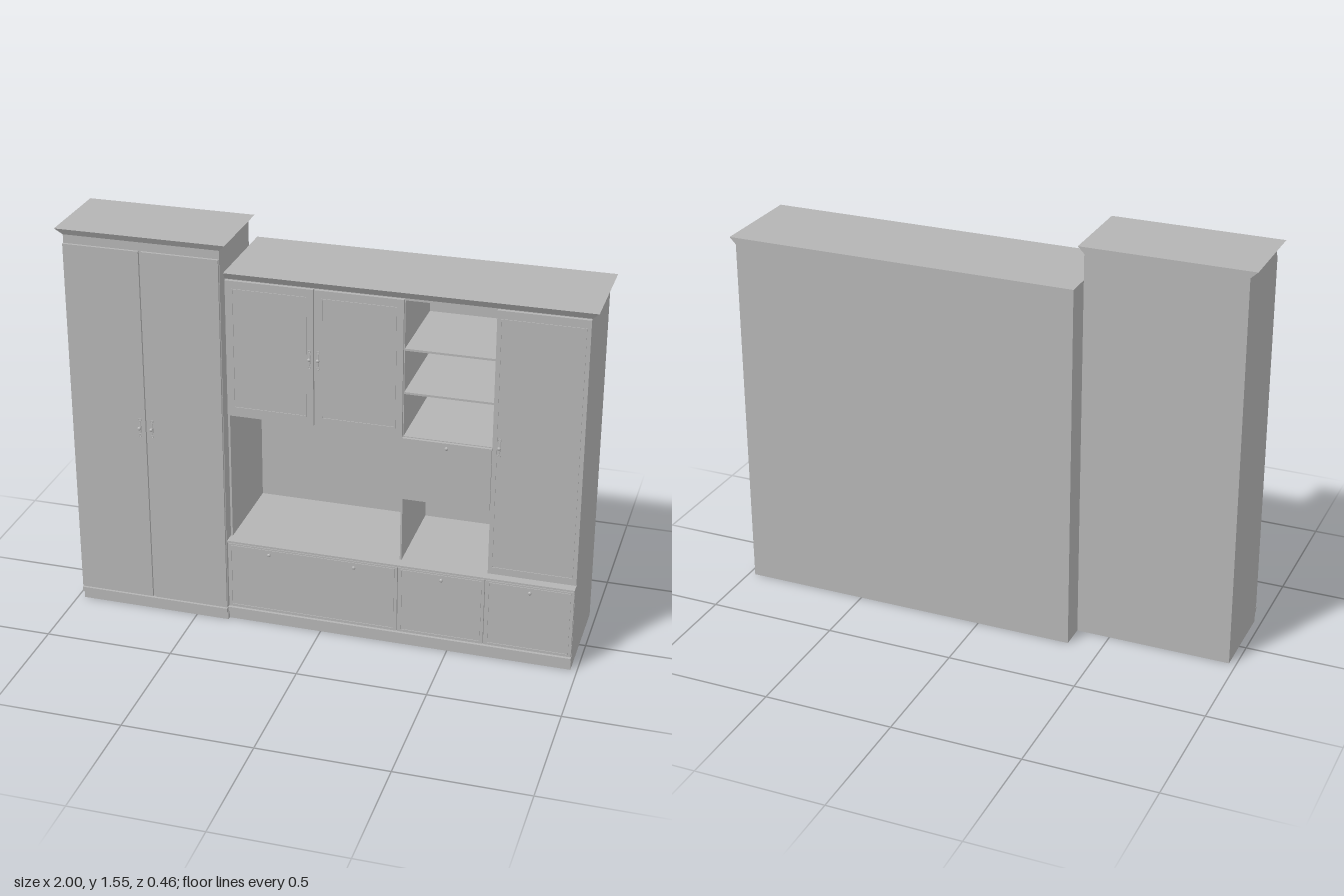
import * as THREE from 'three';

export function createModel() {
  const root = new THREE.Group();
  root.name = 'wallCabinet';
  const grey = new THREE.MeshStandardMaterial({ color: 0xb4b4b4 });
  grey.name = 'grey';

  const add = (parent, name, geometry) => {
    const mesh = new THREE.Mesh(geometry, grey);
    mesh.name = name;
    parent.add(mesh);
    return mesh;
  };
  const group = (name) => {
    const g = new THREE.Group();
    g.name = name;
    root.add(g);
    return g;
  };
  // Box given by its limits on each axis
  const box = (parent, name, x0, x1, y0, y1, z0, z1) => {
    const g = new THREE.BoxGeometry(x1 - x0, y1 - y0, z1 - z0);
    g.translate((x0 + x1) / 2, (y0 + y1) / 2, (z0 + z1) / 2);
    return add(parent, name, g);
  };
  // Cornice: a slab whose upper edges flare outward
  const cornice = (parent, x0, x1, y0, y1, z0, z1, left, right, front) => {
    const mesh = box(parent, 'cornice', x0, x1, y0, y1, z0, z1);
    const p = mesh.geometry.attributes.position;
    const midX = (x0 + x1) / 2, midY = (y0 + y1) / 2, midZ = (z0 + z1) / 2;
    for (let i = 0; i < p.count; i++) {
      if (p.getY(i) < midY) continue;
      p.setX(i, p.getX(i) + (p.getX(i) < midX ? -left : right));
      if (p.getZ(i) > midZ) p.setZ(i, p.getZ(i) + front);
    }
    mesh.geometry.computeVertexNormals();
  };
  // Thin raised border on a front panel
  const bead = (parent, x0, x1, y0, y1, z, w = 0.005) => {
    const t = 0.003;
    box(parent, 'beadLeft', x0, x0 + w, y0, y1, z, z + t);
    box(parent, 'beadRight', x1 - w, x1, y0, y1, z, z + t);
    box(parent, 'beadBottom', x0 + w, x1 - w, y0, y0 + w, z, z + t);
    box(parent, 'beadTop', x0 + w, x1 - w, y1 - w, y1, z, z + t);
  };
  const knob = (parent, x, y, z, length) => {
    const stem = new THREE.CylinderGeometry(0.003, 0.004, length, 10).rotateX(Math.PI / 2);
    add(parent, 'knobStem', stem).position.set(x, y, z + length / 2);
    const head = add(parent, 'knobHead', new THREE.SphereGeometry(0.007, 12, 8));
    head.scale.z = 0.6;
    head.position.set(x, y, z + length);
  };
  // Knob on a slim ornamental plate with curled ends
  const handle = (parent, x, y, z, length) => {
    const plate = add(parent, 'handlePlate', new THREE.SphereGeometry(1, 12, 8));
    plate.scale.set(0.004, 0.03, 0.002);
    plate.position.set(x, y, z);
    for (const s of [-1, 1]) {
      const curl = add(parent, 'handleCurl', new THREE.TorusGeometry(0.005, 0.0015, 6, 12));
      curl.position.set(x, y + s * 0.032, z + 0.001);
    }
    knob(parent, x, y, z, length);
  };

  // Tall wardrobe
  const wardrobe = group('wardrobe');
  box(wardrobe, 'wardrobeBody', -0.973, -0.37, 0, 1.53, -0.13, 0.2);
  cornice(wardrobe, -0.973, -0.37, 1.53, 1.555, -0.13, 0.2, 0.027, 0.025, 0.015);
  box(wardrobe, 'plinthMoulding', -0.973, -0.37, 0.037, 0.055, 0.2, 0.215);
  box(wardrobe, 'leftWardrobeDoor', -0.973, -0.678, 0.058, 1.497, 0.2, 0.21);
  box(wardrobe, 'rightWardrobeDoor', -0.668, -0.372, 0.058, 1.497, 0.2, 0.21);
  for (const x of [-0.699, -0.651]) handle(wardrobe, x, 0.79, 0.21, 0.013);

  // Wall unit carcass
  const unit = group('wallUnit');
  const back = -0.23, front = 0.148;
  box(unit, 'backPanel', -0.37, 0.975, 0.345, 1.405, back, back + 0.01);
  box(unit, 'leftSide', -0.37, -0.362, 0.345, 1.405, back + 0.01, front);
  box(unit, 'nicheDivider', 0.301, 0.308, 0.345, 1.405, back + 0.01, front);
  box(unit, 'topPanel', -0.362, 0.64, 1.397, 1.405, back + 0.01, front);
  box(unit, 'tallCupboard', 0.64, 0.975, 0.345, 1.405, back + 0.01, front);
  cornice(unit, -0.37, 0.975, 1.405, 1.431, back, front, 0, 0.025, 0.017);

  // Upper double cupboard
  const upper = group('upperCupboard');
  box(upper, 'upperCupboardBody', -0.362, 0.301, 0.858, 1.397, back + 0.01, front);
  for (const [x0, x1] of [[-0.366, -0.032], [-0.026, 0.305]]) {
    box(upper, 'upperDoor', x0, x1, 0.863, 1.403, front, 0.161);
    bead(upper, x0 + 0.025, x1 - 0.025, 0.897, 1.373, 0.161);
  }
  for (const x of [-0.046, -0.013]) handle(upper, x, 1.13, 0.161, 0.008);

  // Open shelves and the small drawer beneath them
  const shelves = group('openShelves');
  for (const y of [1.207, 1.036])
    box(shelves, 'shelf', 0.308, 0.64, y - 0.004, y + 0.004, back + 0.01, front);
  box(shelves, 'drawerBox', 0.308, 0.64, 0.607, 0.863, back + 0.01, front);
  box(shelves, 'smallDrawerFront', 0.306, 0.64, 0.61, 0.86, front, 0.16);
  knob(shelves, 0.474, 0.843, 0.16, 0.008);

  // Tall door
  const tall = group('tallDoor');
  box(tall, 'tallDoorPanel', 0.642, 0.975, 0.348, 1.403, front, 0.161);
  bead(tall, 0.656, 0.96, 0.375, 1.372, 0.161, 0.003);
  handle(tall, 0.668, 0.87, 0.161, 0.007);

  // Lower drawers and plinth
  const base = group('drawerBase');
  box(base, 'plinth', -0.37, 0.975, 0, 0.037, back, 0.185);
  box(base, 'baseMoulding', -0.37, 0.975, 0.037, 0.055, back, 0.198);
  box(base, 'baseBody', -0.37, 0.975, 0.055, 0.337, back, 0.18);
  box(base, 'baseTop', -0.37, 0.975, 0.337, 0.345, back, 0.193);
  const drawers = [
    [-0.368, 0.303, [-0.201, 0.135]],
    [0.306, 0.638, [0.474]],
    [0.641, 0.974, [0.81]],
  ];
  for (const [x0, x1, knobs] of drawers) {
    box(base, 'drawerFront', x0, x1, 0.058, 0.334, 0.18, 0.191);
    bead(base, x0 + 0.011, x1 - 0.011, 0.066, 0.328, 0.191, 0.004);
    for (const x of knobs) knob(base, x, 0.31, 0.191, 0.008);
  }
  return root;
}
